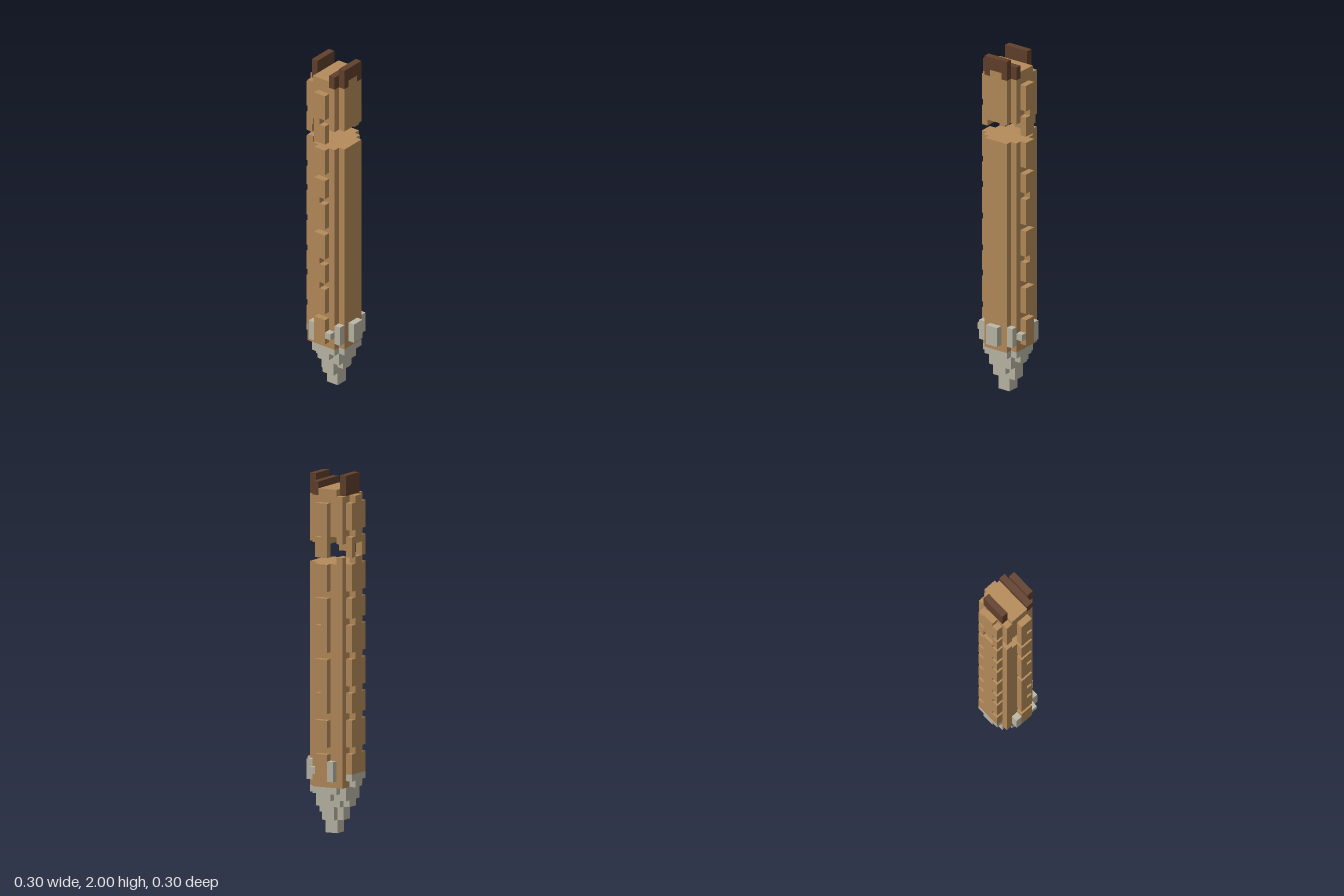
import * as THREE from 'three';

const U = 2 / 53; // edge of one block

export function createModel() {
  const model = new THREE.Group();
  const make = (name, hex) => {
    const m = new THREE.MeshStandardMaterial({ color: hex });
    m.name = name;
    return m;
  };
  const wood = make('wood', 0xb58b5a);
  const bark = make('darkWood', 0x62402c);
  const stone = make('stone', 0xbcb7a6);

  // Box spanning block coordinates x0..x1, y0..y1, z0..z1
  const block = (name, mat, x0, x1, y0, y1, z0, z1) => {
    const g = new THREE.BoxGeometry((x1 - x0) * U, (y1 - y0) * U, (z1 - z0) * U);
    g.translate((x0 + x1) / 2 * U, (y0 + y1) / 2 * U, (z0 + z1) / 2 * U);
    const mesh = new THREE.Mesh(g, mat);
    mesh.name = name;
    model.add(mesh);
  };
  // The same block on the front and back
  const pair = (name, mat, x0, x1, y0, y1, z0, z1) => {
    block(name, mat, x0, x1, y0, y1, z0, z1);
    block(name, mat, x0, x1, y0, y1, -z1, -z0);
  };

  // Lower shaft
  block('lowerShaft', wood, -3, 2, 7, 40, -3, 3);
  block('lowerShaftLeft', wood, 2, 3, 7, 40, -2, 2);
  block('lowerSpine', wood, -4, -3, 9, 41, -1, 1);
  pair('breakStub', wood, -3, -2, 40, 41, 2, 3);

  // Upper shaft, broken away from the lower one
  block('upperShaftRight', wood, -3, -2, 43, 50, -3, 3);
  block('upperShaftChip', wood, -2, -1, 44, 51, -3, 3);
  block('upperShaft', wood, -1, 1, 43, 51, -3, 3);
  block('upperShaftEdge', wood, 1, 2, 43, 50, -3, 3);
  block('upperShaftLeft', wood, 2, 3, 43, 50, -2, 2);
  block('upperArch', wood, 2, 3, 50, 51, -1, 1);
  block('upperSpine', wood, -4, -3, 43, 50, -1, 1);

  // Raised panels on front and back: [bottom, top, notch row]
  const panels = [[8, 12], [13, 17], [18, 26, 21], [27, 35, 31], [36, 40], [41, 49, 44]];
  for (const [y0, y1, notch] of panels) {
    pair('panelHalf', wood, -1, 0, y0, y1, 3, 4);
    if (notch) {
      pair('panelHalf', wood, 0, 1, y0, notch, 3, 4);
      pair('panelHalf', wood, 0, 1, notch + 1, y1, 3, 4);
      pair('sideRib', wood, -4, -3, y0, notch, 1, 2);
      pair('sideRib', wood, -4, -3, notch + 1, y1, 1, 2);
    } else {
      pair('panelHalf', wood, 0, 1, y0, y1, 3, 4);
      pair('sideRib', wood, -4, -3, Math.max(y0, 9), y1, 1, 2);
    }
  }
  block('panelBridge', wood, -1, 0, 17, 18, 3, 4); // front only

  // Dark crown
  block('crownRight', bark, -3, -2, 50, 53, -2, 2);
  block('crownLeft', bark, 1, 2, 50, 52, -3, 3);
  pair('crownLeftFoot', bark, 2, 3, 50, 51, 1, 2);
  block('crownLeftTop', bark, 2, 3, 51, 53, -2, 2);

  // Stepped stone tip: [x0, x1, y0, y1, half depth]
  const tip = [
    [-1, 1, 0, 2, 1],
    [-2, 1, 2, 3, 1], [-1, 1, 2, 3, 2],
    [-2, 2, 3, 4, 1], [-1, 1, 3, 4, 2],
    [-3, 2, 4, 5, 1], [-2, 2, 4, 5, 2],
    [-3, 2, 5, 6, 2], [-1, 1, 5, 6, 3],
    [-3, 3, 6, 7, 2], [-2, 2, 6, 7, 3],
    [-4, -3, 7, 8, 1], [-4, -3, 8, 9, 2],
  ];
  for (const [x0, x1, y0, y1, d] of tip) block('tipStep', stone, x0, x1, y0, y1, -d, d);

  // Stone claws gripping the shaft
  pair('claw', stone, -2, -1, 8, 11, 3, 4);
  pair('claw', stone, 1, 2, 9, 10, 3, 4);
  pair('claw', stone, 2, 3, 8, 11, 2, 3);
  block('claw', stone, 3, 4, 8, 11, -1, 1);
  return model;
}
